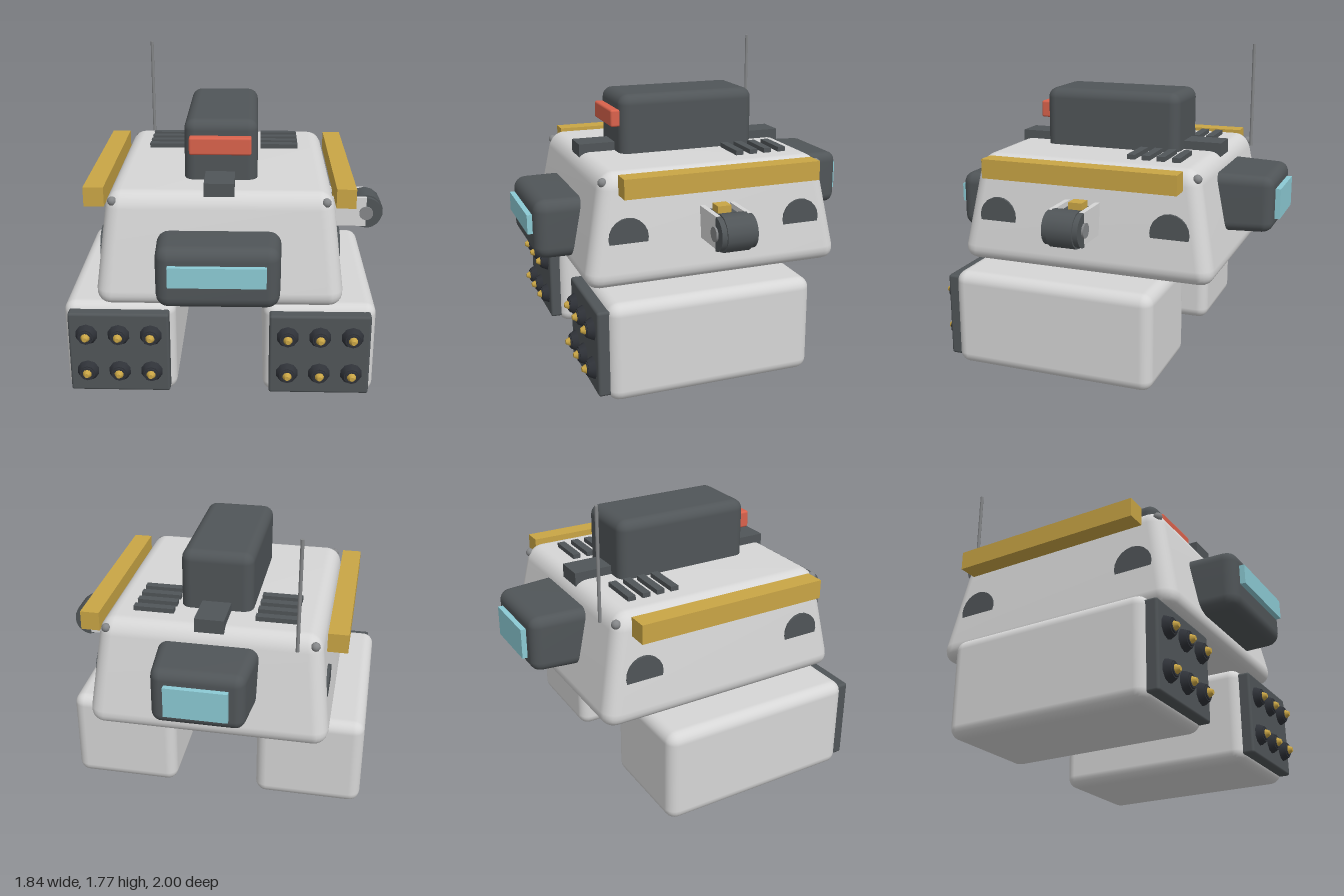
import * as THREE from 'three';
import { RoundedBoxGeometry } from 'three/addons/geometries/RoundedBoxGeometry.js';
import { mergeVertices } from 'three/addons/utils/BufferGeometryUtils.js';

const mat = (name, color) => {
  const m = new THREE.MeshStandardMaterial({ color });
  m.name = name;
  return m;
};

export function createModel() {
  const shell = mat('lightGreyShell', 0xd6d6d6);
  const dark = mat('slateGrey', 0x505558);
  const black = mat('blackMetal', 0x2f3238);
  const gold = mat('ochre', 0xc9a545);
  const red = mat('redLens', 0xd9624c);
  const cyan = mat('cyanGlass', 0x8ccad4);
  const steel = mat('steel', 0x858789);

  const root = new THREE.Group();
  root.name = 'hoverVehicle';
  const add = (name, geo, material, x = 0, y = 0, z = 0, parent = root) => {
    const m = new THREE.Mesh(geo, material);
    m.name = name;
    m.position.set(x, y, z);
    parent.add(m);
    return m;
  };

  // Boxes are given by their limits on each axis
  const size = (a, b) => b - a, mid = (a, b) => (a + b) / 2;
  const box = (name, material, X, Y, Z, parent) =>
    add(name, new THREE.BoxGeometry(size(...X), size(...Y), size(...Z)), material,
      mid(...X), mid(...Y), mid(...Z), parent);
  // Rounded box; the optional rule moves each vertex to taper it
  const rounded = (name, material, X, Y, Z, r, rule) => {
    let geo = new RoundedBoxGeometry(size(...X), size(...Y), size(...Z), 3, r);
    if (rule) {
      geo.deleteAttribute('uv');
      geo.deleteAttribute('normal');
      geo = mergeVertices(geo);
      const p = geo.attributes.position, v = new THREE.Vector3();
      for (let i = 0; i < p.count; i++) {
        rule(v.fromBufferAttribute(p, i));
        p.setXYZ(i, v.x, v.y, v.z);
      }
      geo.computeVertexNormals();
    }
    return add(name, geo, material, mid(...X), mid(...Y), mid(...Z));
  };

  // Hull, narrowing towards the roof
  const cx = -0.045;
  rounded('hull', shell, [cx - 0.69, cx + 0.69], [0.57, 1.2], [-0.756, 0.784], 0.09, (v) => {
    const t = (v.y + 0.315) / 0.63;
    v.x *= 1 - 0.109 * t;
    v.z *= 1 - 0.156 * t;
  });

  // Roof strip, cabin and lens
  box('roofStrip', dark, [-0.13, 0.035], [1.17, 1.25], [-0.625, 0.645]);
  rounded('turret', dark, [-0.25, 0.16], [1.14, 1.54], [-0.4, 0.43], 0.06);
  rounded('turretLens', red, [-0.22, 0.125], [1.355, 1.455], [0.39, 0.477], 0.012);

  // Front and rear window housings
  rounded('frontHousing', dark, [-0.39, 0.297], [0.655, 1.0], [0.6, 0.97], 0.07, (v) => {
    v.x *= 1 - 0.05 * (v.z / 0.37 + 0.5);
  });
  box('frontWindow', cyan, [-0.305, 0.21], [0.8, 0.912], [0.95, 1.0]);
  rounded('rearHousing', dark, [-0.335, 0.24], [0.775, 1.115], [-0.97, -0.58], 0.06, (v) => {
    const t = 0.5 - v.z / 0.39;
    v.x *= 1 - 0.13 * t;
    v.y *= 1 - 0.05 * t;
  });
  box('rearWindow', cyan, [-0.22, 0.125], [0.855, 1.03], [-1.0, -0.95]);

  // Roof vents
  for (const X of [[-0.51, -0.28], [0.18, 0.41]])
    for (const z of [-0.47, -0.38, -0.292, -0.205])
      box('vent', dark, X, [1.18, 1.227], [z - 0.023, z + 0.023]);

  // Roof rails
  box('rightRail', gold, [-0.797, -0.684], [1.09, 1.2], [-0.565, 0.58]);
  box('leftRail', gold, [0.592, 0.7], [1.09, 1.2], [-0.565, 0.58]);

  // Corner bolts
  for (const x of [-0.627, 0.532])
    for (const z of [-0.628, 0.65])
      add('cornerBolt', new THREE.SphereGeometry(0.026, 10, 8), steel, x, 1.148, z);

  // Antenna
  add('antenna', new THREE.CylinderGeometry(0.01, 0.01, 0.64, 8), steel, -0.535, 1.455, -0.675);

  // Sunken discs on both flanks
  for (const s of [-1, 1])
    for (const z of [0.533, -0.5]) {
      const disc = add('sidePort', new THREE.CylinderGeometry(0.113, 0.113, 0.1, 20), dark, cx + s * 0.61, 0.848, z);
      disc.rotation.z = Math.PI / 2;
    }

  // Lower pods with rocket tubes
  const tube = new THREE.CylinderGeometry(0.045, 0.066, 0.042, 10).rotateX(Math.PI / 2);
  const collar = new THREE.CylinderGeometry(0.036, 0.04, 0.01, 10).rotateX(Math.PI / 2);
  const tip = new THREE.CylinderGeometry(0.013, 0.03, 0.03, 10).rotateX(Math.PI / 2);
  for (const px of [-0.607, 0.515]) {
    rounded('pod', shell, [px - 0.315, px + 0.315], [0, 0.56], [-0.47, 0.715], 0.065);
    rounded('launcherPlate', dark, [px - 0.282, px + 0.282], [0.04, 0.525], [0.65, 0.77], 0.015);
    for (const dx of [-0.18, 0, 0.18])
      for (const y of [0.17, 0.397]) {
        add('rocketTube', tube, black, px + dx, y, 0.785);
        add('rocketCollar', collar, black, px + dx, y, 0.807);
        add('rocketTip', tip, gold, px + dx, y, 0.82);
      }
  }

  // Side arm: two bracket plates carrying a drum
  const arm = new THREE.Group();
  arm.name = 'sideArm';
  root.add(arm);
  const az = 0.012, ax = 0.818, ay = 0.888;
  const drum = (name, r, w, material, start = 0, len = Math.PI * 2, z = az) =>
    add(name, new THREE.CylinderGeometry(r, r, w, 14, 1, false, start, len).rotateX(Math.PI / 2),
      material, ax, ay, z, arm);
  for (const s of [-1, 1])
    box('bracketPlate', shell, [0.55, ax], [0.805, 0.985], [az + s * 0.09 - 0.014, az + s * 0.09 + 0.014], arm);
  box('armCore', dark, [0.55, ax], [0.83, 0.96], [az - 0.07, az + 0.07], arm);
  drum('drumCore', 0.105, 0.15, dark);
  drum('drumRim', 0.095, 0.208, dark, 0, Math.PI);
  for (const s of [-1, 1])
    drum('axleCap', 0.042, 0.02, steel, 0, Math.PI * 2, az + s * 0.105);
  box('armLatch', gold, [0.62, 0.7], [0.96, 1.0], [az - 0.04, az + 0.04], arm);
  const pin = add('armPin', new THREE.CylinderGeometry(0.02, 0.02, 0.08, 10), steel, 0.6, 0.775, az, arm);
  pin.rotation.z = Math.PI / 2;

  return root;
}
